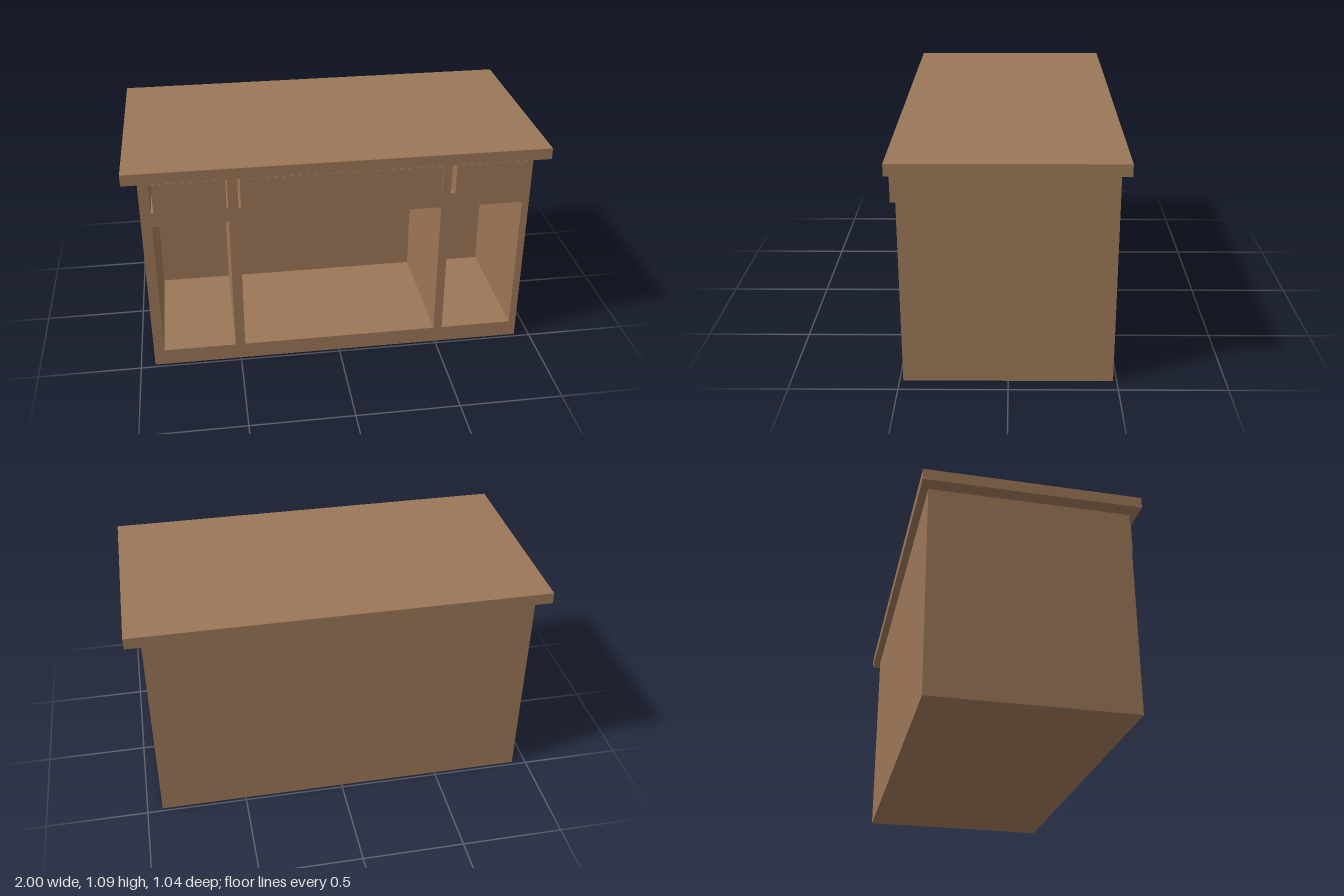
import * as THREE from 'three';

export function createModel() {
  const desk = new THREE.Group();
  desk.name = 'desk';
  const wood = new THREE.MeshStandardMaterial({ color: 0x9b7657 });
  wood.name = 'brown wood';

  const add = (name, geometry) => {
    const mesh = new THREE.Mesh(geometry, wood);
    mesh.name = name;
    desk.add(mesh);
    return mesh;
  };
  // Box given by its lower and upper corners
  const box = (name, x0, x1, y0, y1, z0, z1) =>
    add(name, new THREE.BoxGeometry(x1 - x0, y1 - y0, z1 - z0))
      .position.set((x0 + x1) / 2, (y0 + y1) / 2, (z0 + z1) / 2);
  const rect = (path, x0, x1, y0, y1) =>
    path.moveTo(x0, y0).lineTo(x1, y0).lineTo(x1, y1).lineTo(x0, y1).closePath();

  const left = -0.93, right = 0.925, top = 1.03;
  const front = 0.483, recess = -0.16, back = -0.483;

  // Three bays: opening edges, then drawer edges
  const bays = [
    { name: 'right', open: [-0.88, -0.525], drawer: [-0.867, -0.533] },
    { name: 'centre', open: [-0.477, 0.49], drawer: [-0.467, 0.48] },
    { name: 'left', open: [0.533, 0.89], drawer: [0.547, 0.885] },
  ];

  // Cabinet front with a cubby and a drawer slot in every bay
  const face = new THREE.Shape();
  rect(face, left, right, 0, top);
  for (const { open } of bays) {
    for (const [y0, y1] of [[0.083, 0.79], [0.863, 1.029]]) {
      const hole = new THREE.Path();
      rect(hole, open[0], open[1], y0, y1);
      face.holes.push(hole);
    }
  }
  const shell = new THREE.ExtrudeGeometry(face, { depth: front - recess, bevelEnabled: false });
  add('cabinet', shell).position.z = recess;

  // Solid back closing the cubbies
  box('cabinetBack', left, right, 0, top, back, recess);

  // Drawers standing slightly proud of the front
  for (const { name, drawer } of bays) {
    box(`${name}Drawer`, drawer[0], drawer[1], 0.868, 1.025, recess + 0.02, 0.512);
  }

  // Overhanging desktop
  box('desktop', -1, 1, top, 1.085, -0.52, 0.52);

  return desk;
}
